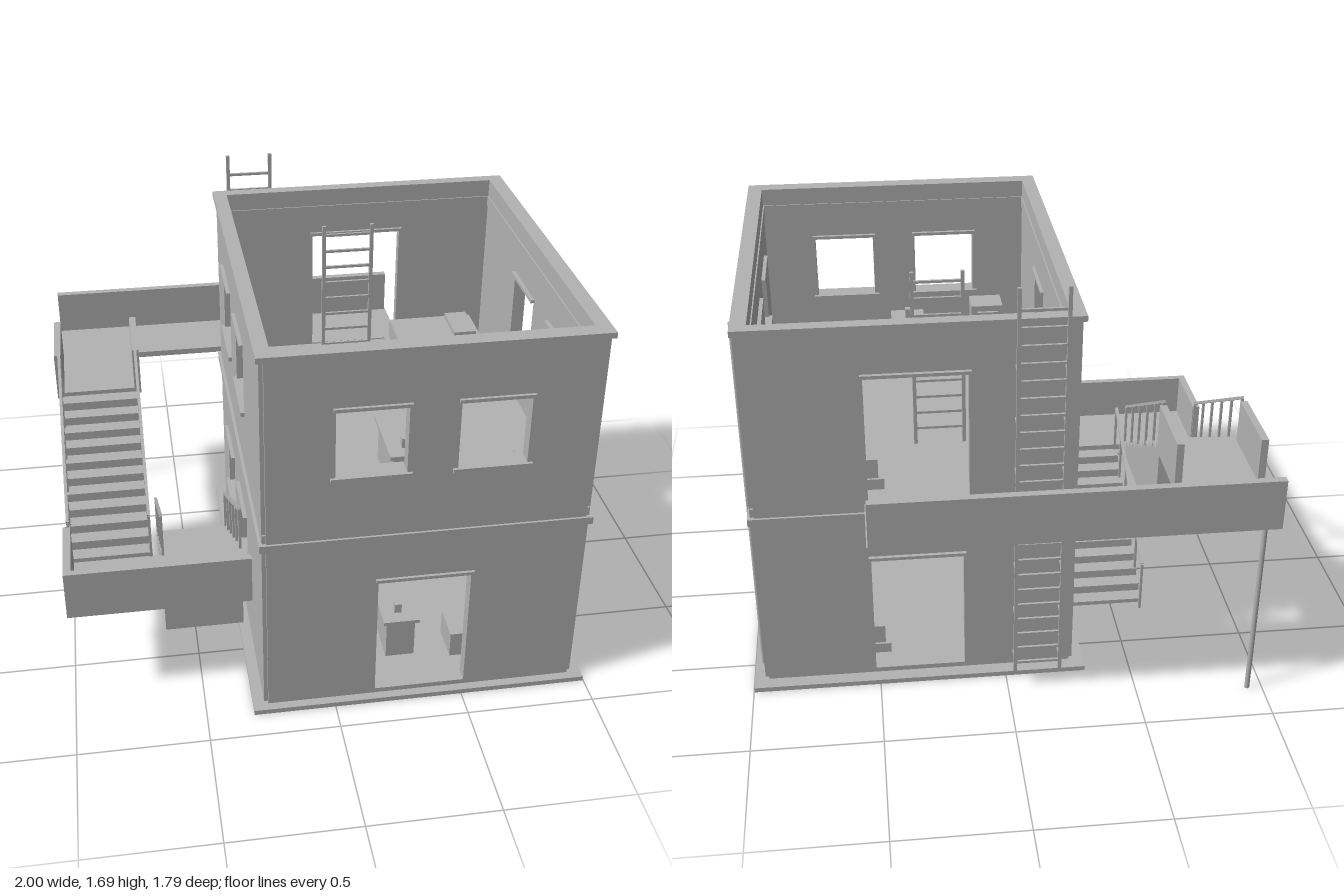
import * as THREE from 'three';

const plaster = new THREE.MeshStandardMaterial({ color: 0xb2b2b2 });
plaster.name = 'plainGrey';

export function createModel() {
  const model = new THREE.Group();
  model.name = 'twoStoreyHouse';

  const part = (name, geometry, parent = model) => {
    const mesh = new THREE.Mesh(geometry, plaster);
    mesh.name = name;
    parent.add(mesh);
    return mesh;
  };
  // box given by its limits on each axis
  const box = (name, x0, x1, y0, y1, z0, z1, parent) => {
    const mesh = part(name, new THREE.BoxGeometry(x1 - x0, y1 - y0, z1 - z0), parent);
    mesh.position.set((x0 + x1) / 2, (y0 + y1) / 2, (z0 + z1) / 2);
    return mesh;
  };
  // square bar between two points
  const bar = (name, a, b, size, parent) => {
    const from = new THREE.Vector3(...a), to = new THREE.Vector3(...b);
    const mesh = part(name, new THREE.BoxGeometry(size, size, from.distanceTo(to)), parent);
    mesh.position.copy(from).add(to).multiplyScalar(0.5);
    mesh.lookAt(to);
    return mesh;
  };
  const rect = (Type, u0, u1, v0, v1) => new Type([
    new THREE.Vector2(u0, v0), new THREE.Vector2(u1, v0),
    new THREE.Vector2(u1, v1), new THREE.Vector2(u0, v1)]);
  const extrude = (shape, depth) => new THREE.ExtrudeGeometry(shape, { depth, bevelEnabled: false });

  // wall panel with openings; u runs along x, or along z for side walls
  const wall = (name, side, u0, u1, y0, y1, w0, w1, openings) => {
    const shape = rect(THREE.Shape, u0, u1, y0, y1);
    for (const o of openings) shape.holes.push(rect(THREE.Path, ...o));
    const g = extrude(shape, w1 - w0);
    if (side) g.rotateY(-Math.PI / 2).translate(w1, 0, 0);
    else g.translate(0, 0, w0);
    part(name, g);
    // lintels and sills
    const trim = (label, a, b, c, d) => side
      ? box(label, w0 - 0.015, w1 + 0.012, c, d, a, b)
      : box(label, a, b, c, d, w0 - 0.015, w1 + 0.012);
    for (const [a, b, c, d] of openings) {
      trim('lintel', a - 0.01, b + 0.01, d - 0.005, d + 0.008);
      if (d - c < 0.4) trim('sill', a - 0.018, b + 0.018, c - 0.015, c + 0.003);
    }
  };
  // rectangular ring lying flat
  const ring = (name, o, i, y0, y1) => {
    const shape = rect(THREE.Shape, o[0], o[1], -o[3], -o[2]);
    shape.holes.push(rect(THREE.Path, i[0], i[1], -i[3], -i[2]));
    part(name, extrude(shape, y1 - y0).rotateX(-Math.PI / 2).translate(0, y0, 0));
  };

  // foundation and floors
  box('foundation', -0.318, 0.997, 0, 0.02, -0.668, 0.89);
  box('groundFloor', -0.255, 0.935, 0.02, 0.04, -0.6, 0.83);
  box('upperFloor', -0.273, 0.953, 0.77, 0.815, -0.608, 0.848);

  // two storeys of walls, cornices and furniture
  const inner = [-0.232, 0.906, -0.575, 0.8];
  for (const level of [0, 0.78]) {
    const y0 = level ? 0.78 : 0.02, y1 = level + 0.76;
    const win = (a, b) => [a, b, level + 0.262, level + 0.543];
    const door = [level ? 0.135 : 0.16, 0.515, level + 0.04, level + 0.57];
    const front = level ? [win(-0.01, 0.25), win(0.435, 0.69)] : [door];
    wall('frontWall', false, -0.26, 0.94, y0, y1, 0.8, 0.855, front);
    wall('backWall', false, -0.26, 0.94, y0, y1, -0.615, -0.575, [door]);
    wall('rightWall', true, -0.6, 0.84, y0, y1, 0.906, 0.956,
      [win(-0.115, 0.14), win(0.335, 0.585)]);
    wall('leftWall', true, -0.6, 0.84, y0, y1, -0.275, -0.232,
      [win(-0.355, -0.1), win(0.095, 0.345)]);
    ring('cornice', [-0.287, 0.965, -0.625, 0.864], inner, level + 0.75, level + (level ? 0.772 : 0.78));
    ring('innerBand', inner, [-0.227, 0.901, -0.57, 0.795], level + 0.66, level + 0.7);

    const room = new THREE.Group();
    room.name = 'furniture';
    room.position.y = level + 0.038;
    model.add(room);
    box('bedFrame', 0.45, 0.85, 0, 0.045, -0.52, -0.295, room);
    box('mattress', 0.472, 0.835, 0.045, 0.125, -0.51, -0.305, room);
    box('pillow', 0.72, 0.815, 0.125, 0.145, -0.5, -0.31, room);
    box('deskTop', 0.225, 0.37, 0.17, 0.185, 0.385, 0.69, room);
    box('deskBody', 0.24, 0.355, 0, 0.17, 0.4, 0.675, room);
    box('deskItem', 0.28, 0.308, 0.185, 0.225, 0.605, 0.633, room);
    box('bench', 0.495, 0.805, 0, 0.11, 0.56, 0.71, room);
    box('benchItem', 0.715, 0.743, 0.11, 0.13, 0.62, 0.648, room);
    box('cabinet', -0.11, 0.025, 0, 0.285, 0.475, 0.59, room);
    box('cabinetHandle', -0.09, 0, 0.24, 0.26, 0.462, 0.475, room);
  }

  // drainpipe on the right wall
  const pipe = part('drainpipe', new THREE.CylinderGeometry(0.01, 0.01, 1.51, 10));
  pipe.position.set(0.963, 0.785, -0.52);

  // ladders
  const ladder = (name, x0, x1, y0, y1, z, firstRung) => {
    const group = new THREE.Group();
    group.name = name;
    model.add(group);
    for (const x of [x0, x1]) box('ladderRail', x - 0.007, x + 0.007, y0, y1, z - 0.007, z + 0.007, group);
    for (let y = firstRung; y > y0 + 0.03; y -= 0.07)
      box('rung', x0, x1, y - 0.005, y + 0.005, z - 0.005, z + 0.005, group);
    return group;
  };
  ladder('innerLadder', 0.118, 0.312, 0.815, 1.555, -0.18, 1.515);
  const outer = ladder('outerLadder', -0.215, -0.037, 0.015, 1.69, -0.668, 1.605);
  for (let i = 0; i < 7; i++) {
    const y = 0.08 + i * 0.214;
    for (const x of [-0.215, -0.037]) bar('ladderBracket', [x, y, -0.61], [x, y, -0.668], 0.01, outer);
  }

  // upper walkway and landing
  box('walkwayDeck', -0.985, 0.53, 0.79, 0.815, -0.9, -0.61);
  box('walkwayParapet', -0.985, 0.525, 0.79, 0.995, -0.9, -0.87);
  box('upperLanding', -1, -0.648, 0.79, 0.815, -0.61, -0.295);
  box('landingParapet', -1, -0.972, 0.79, 0.995, -0.605, -0.295);
  box('landingParapet', -0.676, -0.648, 0.79, 0.995, -0.605, -0.295);
  const post = part('supportPost', new THREE.CylinderGeometry(0.01, 0.01, 0.79, 12));
  post.position.set(-0.942, 0.395, -0.836);

  // middle landing
  box('middleLanding', -1, -0.295, 0.4, 0.425, 0.38, 0.69);
  box('middleParapet', -1, -0.295, 0.4, 0.6, 0.662, 0.69);
  box('middleParapet', -1, -0.97, 0.4, 0.6, 0.38, 0.662);

  // solid flights with a stepped profile, and their handrails
  const flight = (name, x0, x1, bottom, zTop, zLow, yTop, yLow) => {
    const n = 11, dz = (zLow - zTop) / n, dy = (yTop - yLow) / n;
    const points = [new THREE.Vector2(zTop, bottom)];
    for (let i = 0; i < n; i++) {
      const y = yTop - (i + 0.5) * dy;
      points.push(new THREE.Vector2(zTop + i * dz, y), new THREE.Vector2(zTop + (i + 1) * dz, y));
    }
    points.push(new THREE.Vector2(zLow, bottom));
    const g = extrude(new THREE.Shape(points), x1 - x0).rotateY(-Math.PI / 2).translate(x1, 0, 0);
    part(name, g);
    const rise = 0.195;
    for (const x of [x0 + 0.006, x1 - 0.006]) {
      bar('handrail', [x, yTop + rise, zTop], [x, yLow + rise, zLow], 0.012);
      for (let i = 0; i <= 5; i++) {
        const t = i / 5, z = zTop + (zLow - zTop) * t, y = yTop + (yLow - yTop) * t;
        box('baluster', x - 0.005, x + 0.005, y - 0.03, y + rise, z - 0.005, z + 0.005);
      }
    }
  };
  flight('upperFlight', -0.985, -0.658, 0.4, -0.295, 0.38, 0.815, 0.425);
  flight('lowerFlight', -0.624, -0.302, 0.04, 0.38, -0.295, 0.42, 0.04);

  return model;
}
